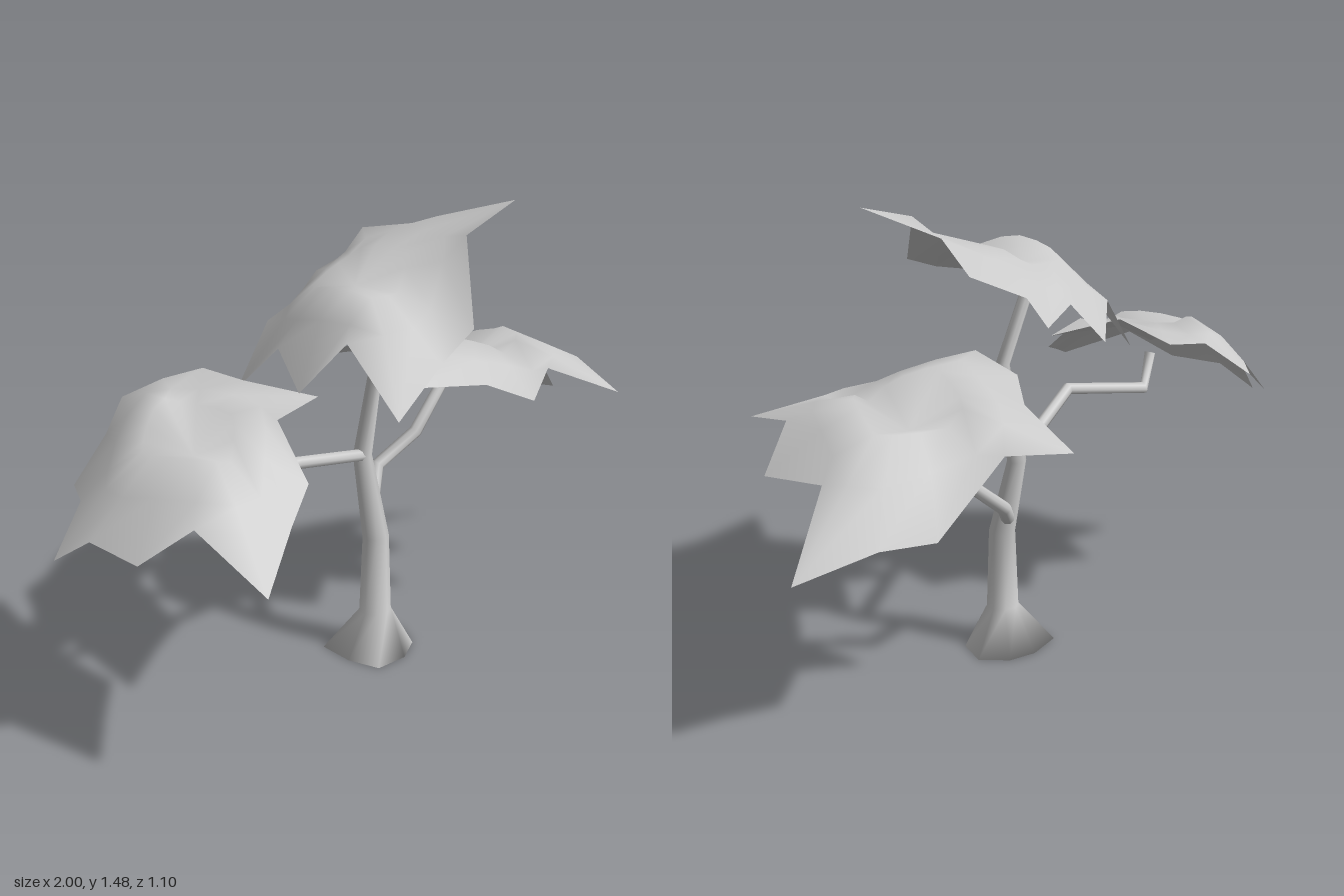
import * as THREE from 'three';

const SIDES = 8;

function surface(name, positions, index) {
  const geo = new THREE.BufferGeometry();
  geo.setAttribute('position', new THREE.Float32BufferAttribute(positions, 3));
  geo.setIndex(index);
  geo.computeVertexNormals();
  const mat = new THREE.MeshStandardMaterial({ color: 0xcccccc, side: THREE.DoubleSide });
  const mesh = new THREE.Mesh(geo, mat);
  mesh.name = name;
  return mesh;
}

// Tapered limb through stations [x, y, z, radius], closed at both ends
function limb(name, stations, wobble = () => 1) {
  const pts = stations.map(s => new THREE.Vector3(s[0], s[1], s[2]));
  const last = pts.length - 1;
  const pos = [], idx = [];
  pts.forEach((p, i) => {
    const dir = pts[Math.min(i + 1, last)].clone().sub(pts[Math.max(i - 1, 0)]).normalize();
    if (p.y === 0) dir.set(0, 1, 0);
    const u = new THREE.Vector3(0, 0, 1).addScaledVector(dir, -dir.z).normalize();
    const v = u.clone().cross(dir).negate();
    for (let k = 0; k < SIDES; k++) {
      const a = k / SIDES * Math.PI * 2;
      const r = stations[i][3] * wobble(i, k);
      const q = p.clone().addScaledVector(u, Math.cos(a) * r).addScaledVector(v, Math.sin(a) * r);
      pos.push(q.x, q.y, q.z);
      if (i < last) {
        const a0 = i * SIDES + k, b0 = i * SIDES + (k + 1) % SIDES;
        idx.push(a0, b0, b0 + SIDES, a0, b0 + SIDES, a0 + SIDES);
      }
    }
  });
  for (let k = 1; k < SIDES - 1; k++) {
    const t = last * SIDES;
    idx.push(0, k + 1, k, t, t + k, t + k + 1);
  }
  return surface(name, pos, idx);
}

// Thin domed leaf sheet: dimpled crown, smoothed inner rings, jagged rim.
// Rim points are [x, y, z, lift]; lift raises or sinks the sheet inside that point.
function canopy(name, crown, dip, rim) {
  const n = rim.length;
  const pos = [crown[0], crown[1] - dip, crown[2]], idx = [];
  const levels = [0.4, 0.7, 1];
  levels.forEach((t, level) => {
    for (let k = 0; k < n; k++) {
      const prev = rim[(k + n - 1) % n], next = rim[(k + 1) % n];
      const lift = t === 1 ? 0 : rim[k][3];
      const edge = rim[k].map((c, j) => t === 1 ? c : (prev[j] + 2 * c + next[j]) / 4);
      pos.push(
        crown[0] + (edge[0] - crown[0]) * t,
        crown[1] + (edge[1] - crown[1]) * t ** 1.8 + lift,
        crown[2] + (edge[2] - crown[2]) * t);
      const a = 1 + level * n + k, b = 1 + level * n + (k + 1) % n;
      if (level === 0) idx.push(0, b, a);
      else idx.push(a - n, b - n, b, a - n, b, a);
    }
  });
  return surface(name, pos, idx);
}

export function createModel() {
  const tree = new THREE.Group();
  tree.name = 'tree';

  // Trunk with a flared, uneven root
  const root = [0.95, 0.95, 1.05, 0.9, 0.92, 1.25, 0.98, 1.12];
  tree.add(limb('trunk', [
    [0.03, 0, 0.025, 0.132], [0.028, 0.14, 0.03, 0.051], [0.03, 0.4, 0.03, 0.042],
    [0.043, 0.66, -0.035, 0.03], [0.038, 0.96, 0.02, 0.022], [-0.085, 1.25, -0.015, 0.019],
  ], (i, k) => i === 0 ? root[k] : 1));

  // Side branches
  tree.add(limb('leftBranch', [
    [0.05, 0.46, -0.005, 0.022], [0.18, 0.56, -0.085, 0.022],
    [0.28, 0.665, -0.01, 0.021], [0.46, 0.85, 0, 0.018],
  ]));
  tree.add(limb('rightBranch', [
    [0.03, 0.665, -0.03, 0.02], [-0.31, 0.775, 0.01, 0.02],
    [-0.55, 0.735, -0.13, 0.02], [-0.6, 0.84, -0.12, 0.018],
  ]));

  // Leaf sheets, rim points run clockwise from above
  tree.add(canopy('rightCanopy', [-0.62, 0.975, -0.11], 0.1, [
    [-1, 0.63, -0.3, 0], [-0.86, 0.755, -0.33, 0], [-0.77, 0.73, -0.46, 0.02], [-0.65, 0.86, -0.44, 0.035],
    [-0.48, 0.89, -0.55, 0.035], [-0.44, 0.975, -0.41, 0.01], [-0.33, 0.99, -0.35, 0], [-0.375, 1.02, -0.14, 0],
    [-0.24, 0.97, 0.03, 0], [-0.44, 0.97, 0.05, 0], [-0.48, 0.83, 0.2, -0.01], [-0.62, 0.77, 0.26, -0.03],
    [-0.835, 0.675, 0.365, 0], [-0.845, 0.8, 0.107, 0], [-0.96, 0.7, 0, 0], [-0.96, 0.71, -0.19, 0],
  ]));
  tree.add(canopy('topCanopy', [-0.06, 1.315, 0.02], 0.055, [
    [-0.32, 0.96, -0.215, 0], [-0.2, 1.14, -0.2, 0], [-0.04, 1.07, -0.295, 0], [0.08, 1.21, -0.25, 0],
    [0.27, 1.2, -0.3, 0], [0.31, 1.29, -0.255, 0.01], [0.345, 1.33, -0.085, 0.02], [0.275, 1.4, 0.065, 0.01],
    [0.36, 1.475, 0.29, 0], [0.16, 1.41, 0.26, -0.01], [-0.013, 1.21, 0.42, -0.035], [-0.16, 1.15, 0.42, 0],
    [-0.41, 1.07, 0.465, 0.01], [-0.31, 1.2, 0.2, 0.02], [-0.38, 1.04, 0.08, 0.02], [-0.31, 1.12, -0.06, 0.015],
  ]));
  tree.add(canopy('leftCanopy', [0.46, 0.985, 0.05], 0.11, [
    [0.04, 0.985, 0.12, 0.025], [0.09, 0.96, -0.07, 0.01], [0.24, 0.94, -0.2, 0], [0.26, 0.84, -0.385, -0.01],
    [0.41, 0.85, -0.25, -0.04], [0.635, 0.65, -0.18, -0.02], [0.79, 0.66, -0.096, 0], [1, 0.6, 0.04, 0],
    [0.79, 0.81, 0.1, 0.01], [0.79, 0.785, 0.315, 0.01], [0.65, 0.9, 0.35, 0.01], [0.59, 0.85, 0.545, 0],
    [0.47, 0.92, 0.36, -0.035], [0.31, 0.88, 0.42, 0], [0.24, 0.92, 0.29, 0.02], [0.04, 0.945, 0.18, 0.03],
  ]));

  return tree;
}
